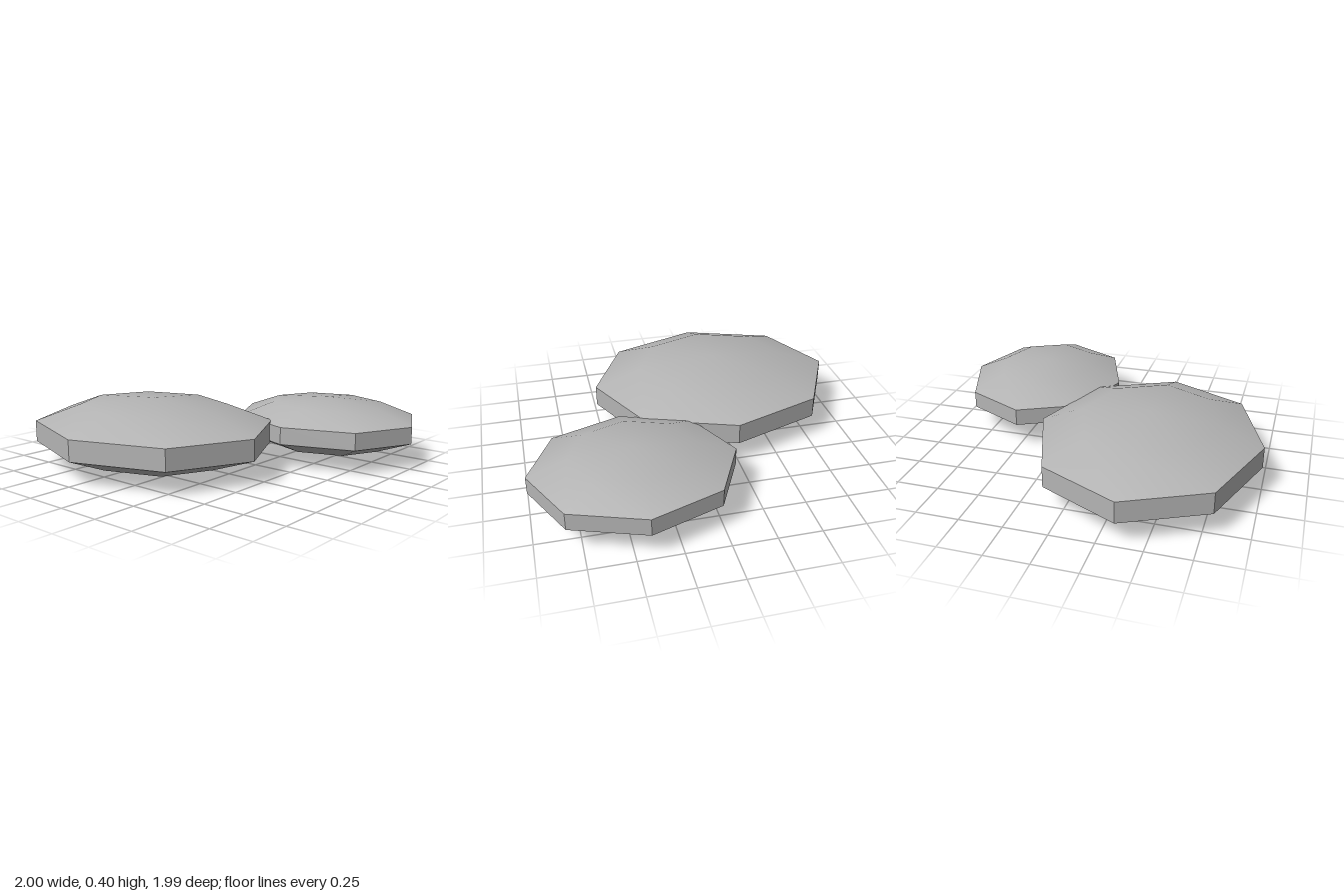
import * as THREE from 'three';
import { toCreasedNormals } from 'three/addons/utils/BufferGeometryUtils.js';

const stone = new THREE.MeshStandardMaterial({ color: 0xb4b4b4 });
stone.name = 'grey stone';

// Flattened eight-sided pebble: upright rim facets, softly domed top and bottom
function pebble(name, [rx, ry, rz], [x, y, z]) {
  const shape = new THREE.SphereGeometry(1, 8, 5).scale(rx, ry, rz);
  const mesh = new THREE.Mesh(toCreasedNormals(shape, Math.PI / 6), stone);
  mesh.name = name;
  mesh.position.set(x, y, z);
  return mesh;
}

export function createModel() {
  const model = new THREE.Group();
  model.name = 'flatStones';
  model.add(
    pebble('largeStone', [0.793, 0.2, 0.678], [-0.246, 0.2, 0.35]),
    pebble('smallStone', [0.611, 0.163, 0.518], [0.419, 0.2, -0.503])
  );
  return model;
}
